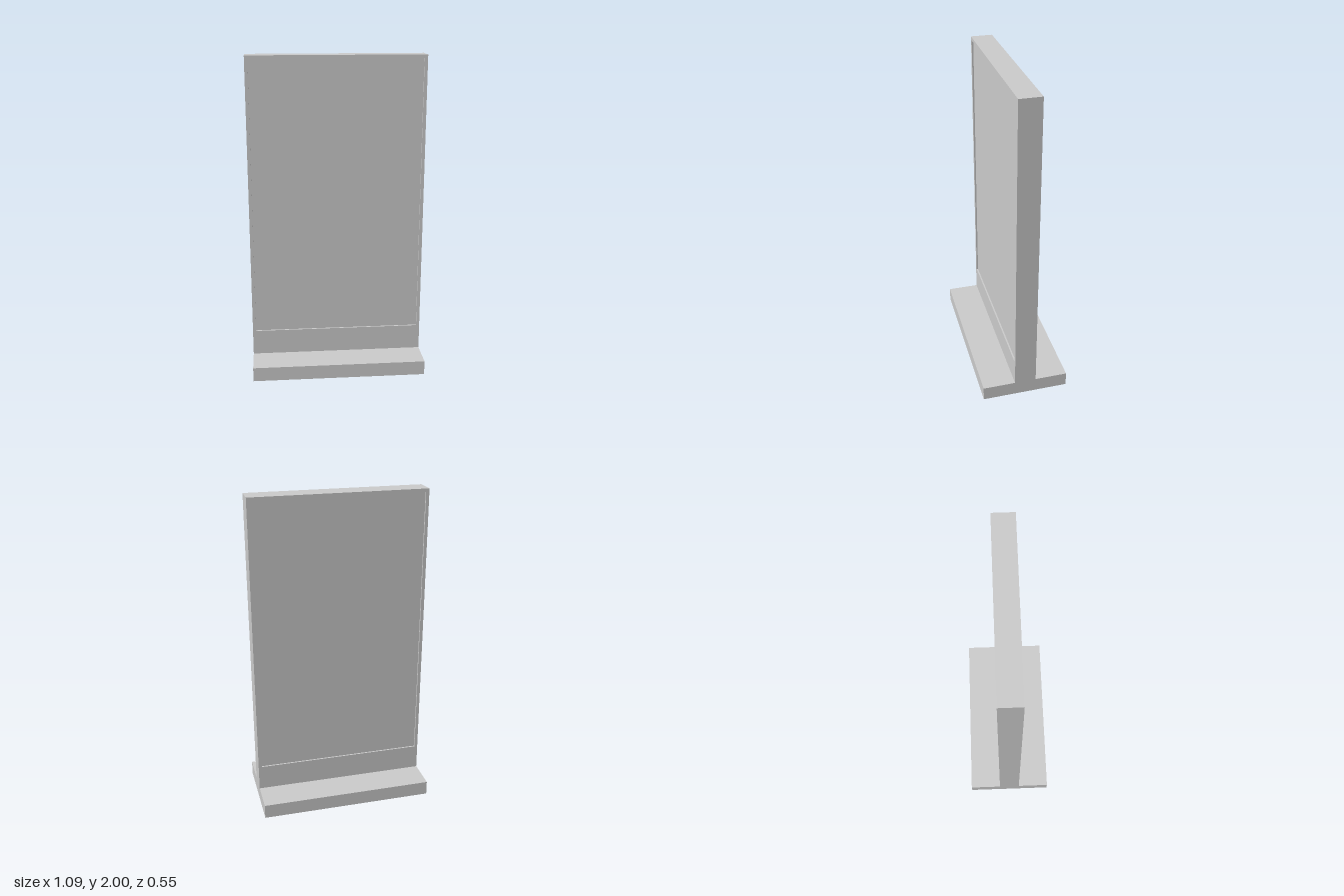
import * as THREE from 'three';

const WIDTH = 1.09, HEIGHT = 2, BASE_H = 0.09, BASE_D = 0.545, BODY_D = 0.136;
const SCREEN = { x: 0.525, bottom: 0.25, top: 1.98, inset: 0.01 };

// Rectangle outline from corner to corner
function rect(target, x0, y0, x1, y1) {
  target.moveTo(x0, y0);
  target.lineTo(x1, y0);
  target.lineTo(x1, y1);
  target.lineTo(x0, y1);
  target.closePath();
  return target;
}

export function createModel() {
  const group = new THREE.Group();
  group.name = 'displayStand';
  const material = new THREE.MeshStandardMaterial({ color: 0xcccccc });

  const add = (name, geometry, x, y, z) => {
    const mesh = new THREE.Mesh(geometry, material);
    mesh.name = name;
    mesh.position.set(x, y, z);
    group.add(mesh);
  };

  // Flat foot
  add('base', new THREE.BoxGeometry(WIDTH, BASE_H, BASE_D), 0, BASE_H / 2, 0);

  // Upright housing with a window open to both faces
  const outline = rect(new THREE.Shape(), -WIDTH / 2, BASE_H, WIDTH / 2, HEIGHT);
  outline.holes.push(rect(new THREE.Path(), -SCREEN.x, SCREEN.bottom, SCREEN.x, SCREEN.top));
  const housing = new THREE.ExtrudeGeometry(outline, { depth: BODY_D, bevelEnabled: false });
  add('housing', housing, 0, 0, -BODY_D / 2);

  // Slightly recessed screens, front and back
  const screenH = SCREEN.top - SCREEN.bottom;
  for (const side of [1, -1]) {
    const screen = new THREE.PlaneGeometry(SCREEN.x * 2, screenH);
    if (side < 0) screen.rotateY(Math.PI);
    add(side > 0 ? 'frontScreen' : 'backScreen', screen,
      0, SCREEN.bottom + screenH / 2, side * (BODY_D / 2 - SCREEN.inset));
  }

  return group;
}
